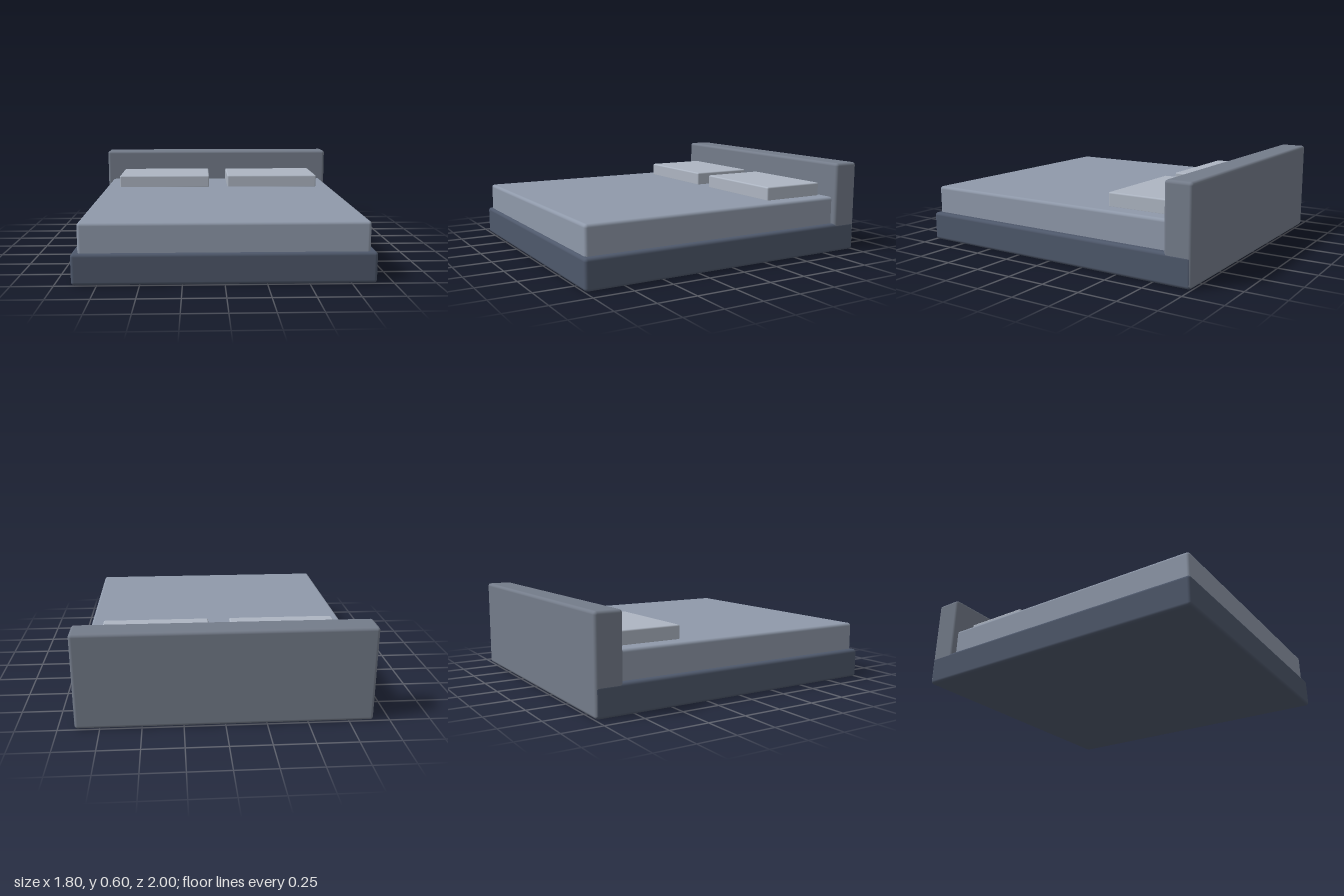
import * as THREE from 'three';
import { RoundedBoxGeometry } from 'three/addons/geometries/RoundedBoxGeometry.js';

// Rounded block given by its [min, max] extent on each axis
function block(name, [x0, x1], [y0, y1], [z0, z1], radius, color) {
  const mesh = new THREE.Mesh(
    new RoundedBoxGeometry(x1 - x0, y1 - y0, z1 - z0, 4, radius),
    new THREE.MeshStandardMaterial({ color })
  );
  mesh.name = name;
  mesh.position.set((x0 + x1) / 2, (y0 + y1) / 2, (z0 + z1) / 2);
  return mesh;
}

export function createModel() {
  const bed = new THREE.Group();
  bed.name = 'bed';

  // Base; its back end stops just inside the headboard so faces never coincide
  bed.add(block('base', [-0.9, 0.9], [0, 0.19], [-0.998, 1], 0.02, 0x4e586b));

  // Headboard runs the full height behind the base
  bed.add(block('headboard', [-0.899, 0.899], [0.002, 0.6], [-1, -0.825], 0.02, 0x747c8a));

  // Mattress sinks slightly into the base and the headboard
  bed.add(block('mattress', [-0.86, 0.86], [0.15, 0.37], [-0.86, 0.98], 0.02, 0x8f99aa));

  // Pillows, mirrored left and right
  for (const side of [1, -1]) {
    const pillow = block(side > 0 ? 'leftPillow' : 'rightPillow',
      [0.07, 0.755], [0.362, 0.457], [-0.803, -0.363], 0.01, 0xadb5c2);
    pillow.position.x *= side;
    bed.add(pillow);
  }
  return bed;
}
